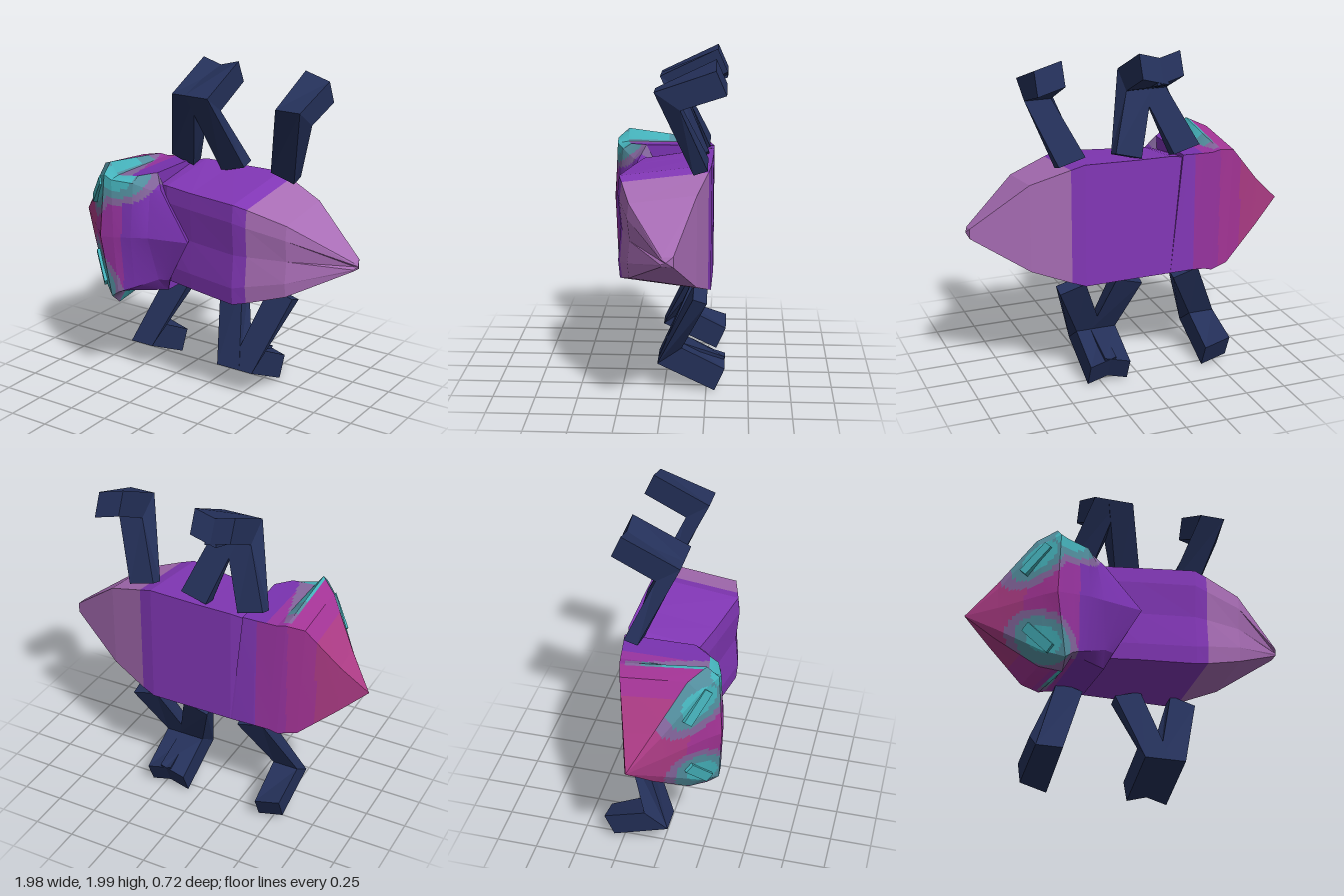
import * as THREE from 'three';

const mat = (name, color) => {
  const m = new THREE.MeshStandardMaterial({ color, flatShading: true });
  m.name = name;
  return m;
};

// Half section -> closed ring. Points are [dx, half height, z], from back centre to front centre.
// lean pushes the lower half towards +x and the upper half towards -x.
function ring(x, cy, half, lean = 0) {
  const point = (dx, h, z) => new THREE.Vector3(x + dx - lean * h, cy + h, z);
  const top = half.map(([dx, h, z]) => point(dx, h, z));
  const low = half.slice(1, -1).reverse().map(([dx, h, z]) => point(dx, -h, z));
  return [...top, ...low];
}

// Shorthand section: back corner, side corner, bevel corner, front centre
const section = (x, cy, [hb, zb], [hs, zs], [hf, zf], zc, { dx = [0, 0], lean = 0 } = {}) =>
  ring(x, cy, [[0, 0, zb], [0, hb, zb], [0, hs, zs], [dx[0], hf, zf], [dx[1], 0, zc]], lean);

const tip = (x, cy, z) => ring(x, cy, Array(5).fill([0, 0, z]));

// Skins a list of rings (going towards +x) and sorts the small faces by colour
function loft(rings, nu, nv, materials, pick) {
  const buckets = new Map(materials.map((m) => [m, []]));
  const n = rings[0].length;
  const at = (i, j, u, v) => {
    const k = (j + 1) % n;
    const p = rings[i][j].clone().lerp(rings[i][k], v);
    return p.lerp(rings[i + 1][j].clone().lerp(rings[i + 1][k], v), u);
  };
  for (let i = 0; i < rings.length - 1; i++) for (let j = 0; j < n; j++) {
    for (let a = 0; a < nu; a++) for (let b = 0; b < nv; b++) {
      const u = a / nu, u2 = (a + 1) / nu, v = b / nv, v2 = (b + 1) / nv;
      const A = at(i, j, u, v), B = at(i, j, u, v2), C = at(i, j, u2, v2), D = at(i, j, u2, v);
      const mid = A.clone().add(B).add(C).add(D).multiplyScalar(0.25);
      const out = buckets.get(pick(mid, j));
      for (const p of [A, B, C, A, C, D]) out.push(p.x, p.y, p.z);
    }
  }
  const lists = [...buckets.values()];
  const g = new THREE.BufferGeometry();
  g.setAttribute('position', new THREE.Float32BufferAttribute(lists.flat(), 3));
  let start = 0;
  lists.forEach((b, i) => {
    if (b.length) g.addGroup(start, b.length / 3, i);
    start += b.length / 3;
  });
  g.computeVertexNormals();
  return new THREE.Mesh(g, materials);
}

// Bent leg: side outline extruded across x, then slanted from hip to knee
function leg(hipX, kneeX, side, material) {
  const w = 0.16, cy = 1.005;
  const outline = [[-0.175, 0.365], [0.04, 0.835], [-0.3, 0.975], [-0.36, 0.84], [-0.105, 0.735], [-0.255, 0.39]];
  const shape = new THREE.Shape(outline.map(([z, h]) => new THREE.Vector2(z, cy + side * h)));
  const g = new THREE.ExtrudeGeometry(shape, { depth: w, bevelEnabled: false });
  const p = g.attributes.position;
  const slope = -0.28 * Math.sign(kneeX - hipX) * side;
  for (let i = 0; i < p.count; i++) {
    const z = p.getX(i), y = p.getY(i), dx = w / 2 - p.getZ(i);
    const h = Math.abs(y - cy);
    const t = THREE.MathUtils.clamp((h - 0.39) / 0.345, 0, 1);
    const tilt = z > -0.15 ? 0 : slope * dx;
    p.setXYZ(i, THREE.MathUtils.lerp(hipX, kneeX, t) + dx, y + tilt, z);
  }
  g.computeVertexNormals();
  return new THREE.Mesh(g, material);
}

export function createModel() {
  const model = new THREE.Group();
  model.name = 'beetle';
  const pink = mat('pinkSnout', 0xab3b84);
  const magenta = mat('magenta', 0xa43496);
  const plum = mat('plum', 0x97339f);
  const purple = mat('thoraxPurple', 0x7832ae);
  const violet = mat('abdomenViolet', 0x8237b6);
  const lilac = mat('tailLilac', 0xa86db5);
  const teal = mat('teal', 0x45b2bb);
  const dullTeal = mat('dullTeal', 0x538f9f);
  const mauve = mat('mauve', 0x84669d);
  const navy = mat('legNavy', 0x243059);

  // Abdomen and pointed tail
  const abdomen = loft([
    section(-0.3, 1, [0.35, -0.26], [0.29, 0.1], [0.2, 0.11], 0.11),
    section(-0.2, 1.005, [0.366, -0.28], [0.3, 0.15], [0.2, 0.16], 0.15),
    section(0, 1.005, [0.367, -0.28], [0.3, 0.195], [0.2, 0.205], 0.19),
    section(0.33, 1.005, [0.373, -0.275], [0.305, 0.258], [0.2, 0.268], 0.25),
    section(0.41, 1.005, [0.347, -0.26], [0.285, 0.238], [0.18, 0.25], 0.235),
    section(0.64, 1.005, [0.265, -0.2], [0.215, 0.18], [0.13, 0.19], 0.175),
    section(0.97, 0.98, [0.03, -0.085], [0.025, -0.02], [0.015, -0.015], -0.03),
    tip(0.985, 0.98, -0.045),
  ], 1, 1, [violet, lilac], (c) => (c.x > 0.41 ? lilac : violet));
  abdomen.name = 'abdomen';
  model.add(abdomen);

  // Teal patches around the eyes, as distances that reach 1 at the rim
  const ellipse = (c, x, y, rx, ry, tilt) => {
    const dx = c.x - x, dy = c.y - y, s = Math.sin(tilt), k = Math.cos(tilt);
    return Math.hypot((dx * k + dy * s) / rx, (dy * k - dx * s) / ry);
  };
  const patch = (c) => (c.y > 0.98
    ? Math.min(ellipse(c, -0.63, 1.25, 0.21, 0.13, 0.85), ellipse(c, -0.46, 1.35, 0.2, 0.14, -0.1))
    : ellipse(c, -0.6, 0.72, 0.21, 0.125, -0.82));

  const headColour = (c, j) => {
    if (j >= 2 && j <= 5) {
      const d = patch(c);
      if (d < 0.5) return teal;
      if (d < 0.82) return dullTeal;
      if (d < 1.1) return mauve;
    } else if (j === 1 || j === 6) {
      // Rear slope of the crest, fading towards the back
      const from = -0.53 - 0.05 * (c.y - 0.983);
      const reach = c.x - from;
      if (reach > 0 && c.z > -0.22) {
        if (c.z > 0.02 && reach < 0.06) return teal;
        if (c.z > -0.12 && reach < 0.07) return dullTeal;
        if (reach < (j === 1 ? 0.1 + 0.25 * c.z : 0.06)) return mauve;
      }
    }
    if (c.x < -0.7) return pink;
    if (c.x < -0.54) return magenta;
    if (j === 0 || j === 7) return c.x < -0.36 ? plum : violet;
    return c.x < -0.41 ? plum : purple;
  };

  // Head and thorax: snout, flared crest, then a plate ending in a V over the abdomen
  const head = loft([
    tip(-0.992, 0.96, -0.085),
    section(-0.83, 0.965, [0.15, -0.14], [0.175, 0.03], [0.13, 0.06], 0.075),
    section(-0.62, 0.985, [0.36, -0.21], [0.4, 0.18], [0.33, 0.25], 0.285, { lean: 0.04 }),
    section(-0.51, 0.983, [0.38, -0.24], [0.447, 0.265], [0.385, 0.335], 0.36, { dx: [0, -0.04], lean: 0.05 }),
    section(-0.46, 0.988, [0.367, -0.25], [0.367, 0.265], [0.355, 0.335], 0.35, { lean: 0.05 }),
    section(-0.35, 1, [0.365, -0.27], [0.365, 0.24], [0.33, 0.29], 0.325),
    section(-0.25, 1.005, [0.366, -0.28], [0.367, 0.15], [0.28, 0.22], 0.29, { lean: 0.1 }),
    section(-0.24, 1.005, [0.366, -0.28], [0.367, 0.14], [0.28, 0.19], 0.23, { dx: [0.05, 0.24], lean: 0.1 }),
    section(-0.24, 1.005, [0.34, -0.25], [0.29, 0.1], [0.22, 0.12], 0.15, { dx: [0.05, 0.2], lean: 0.1 }),
  ], 12, 16, [pink, magenta, plum, purple, violet, teal, dullTeal, mauve], headColour);
  head.name = 'headAndThorax';
  model.add(head);

  // Slanted raised eyes
  for (const side of [1, -1]) {
    const u = new THREE.Vector3(0.15, 0.19 * side, 0.11).normalize();
    const n = new THREE.Vector3(-0.68, 0.15 * side, 0.7);
    n.addScaledVector(u, -n.dot(u)).normalize();
    const eye = new THREE.Mesh(new THREE.BoxGeometry(0.22, 0.06, 0.045), teal);
    eye.name = side > 0 ? 'upperEye' : 'lowerEye';
    eye.quaternion.setFromRotationMatrix(new THREE.Matrix4().makeBasis(u, n.clone().cross(u), n));
    eye.position.set(side > 0 ? -0.645 : -0.622, 0.982 + 0.248 * side, side > 0 ? 0.233 : 0.238);
    model.add(eye);
  }

  // Six bent legs, three on each side: [hip x, knee x, side]
  const legs = [
    [-0.31, -0.157, 1], [0.055, -0.068, 1], [0.4, 0.55, 1],
    [-0.315, -0.49, -1], [0.05, 0.165, -1], [0.405, 0.255, -1],
  ];
  legs.forEach(([hip, knee, side], i) => {
    const m = leg(hip, knee, side, navy);
    m.name = (side > 0 ? 'upper' : 'lower') + ['Front', 'Middle', 'Rear'][i % 3] + 'Leg';
    model.add(m);
  });
  return model;
}
